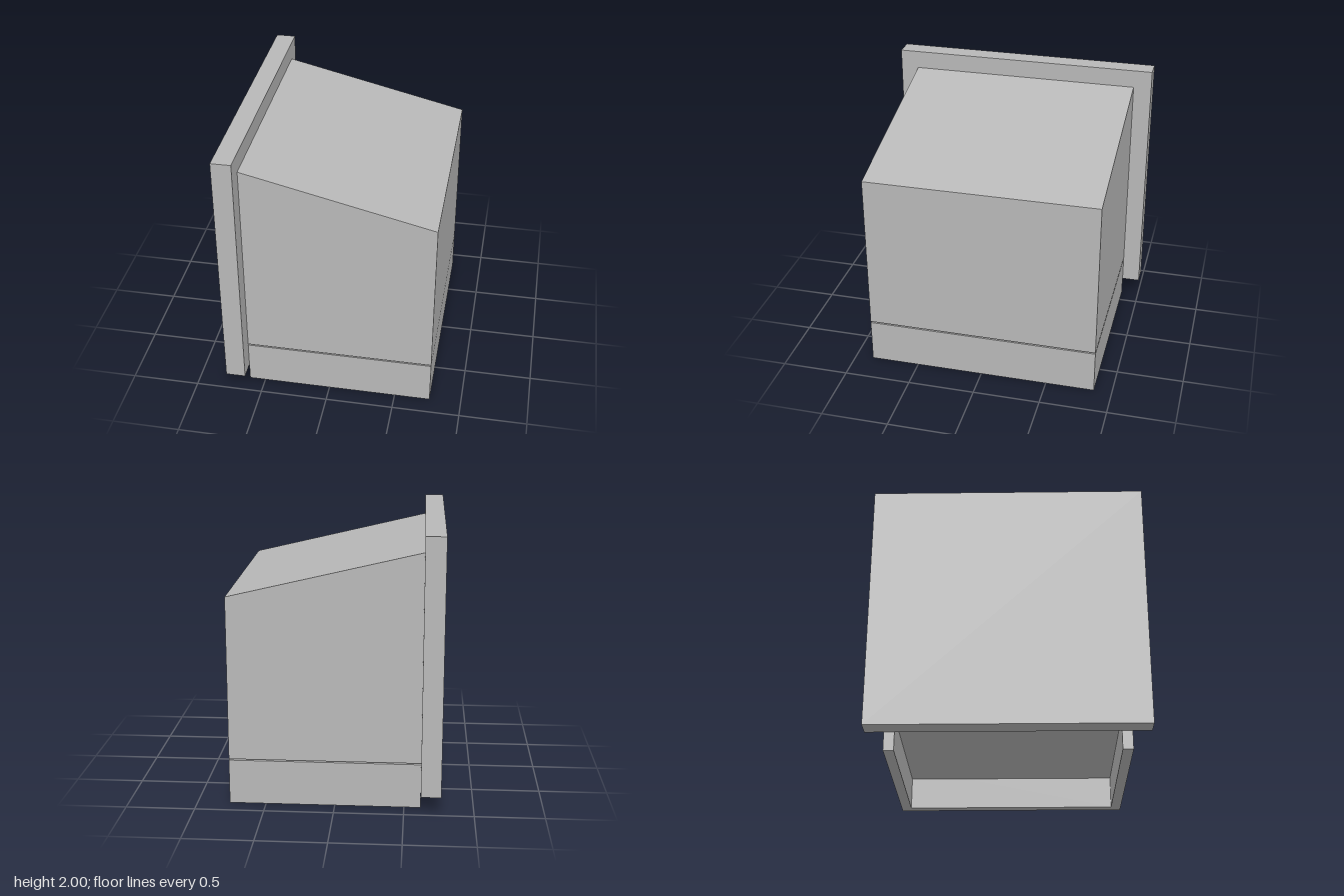
import * as THREE from 'three';

export function createModel() {
  const model = new THREE.Group();
  model.name = 'wallHousing';
  const grey = new THREE.MeshStandardMaterial({ color: 0xb8b8b8 });
  grey.name = 'plain grey';

  const xBack = -0.62, xFront = 0.765, halfDepth = 0.865, wall = 0.075;
  const baseTop = 0.328, ceiling = 0.24;

  // Box given by its lower and upper corners
  function box(name, [x0, y0, z0], [x1, y1, z1], parent = model) {
    const mesh = new THREE.Mesh(new THREE.BoxGeometry(x1 - x0, y1 - y0, z1 - z0), grey);
    mesh.position.set((x0 + x1) / 2, (y0 + y1) / 2, (z0 + z1) / 2);
    mesh.name = name;
    parent.add(mesh);
  }

  // Upright mounting plate, wider and taller than the body
  box('backPlate', [-0.765, 0.135, -1], [xBack, 2, 1]);

  // Body with a sloping top, held just clear of the base
  const side = new THREE.Shape([
    new THREE.Vector2(xBack, 0.338),
    new THREE.Vector2(xFront, 0.338),
    new THREE.Vector2(xFront, 1.535),
    new THREE.Vector2(xBack, 1.865),
  ]);
  const bodyGeometry = new THREE.ExtrudeGeometry(side, { depth: 2 * halfDepth, bevelEnabled: false });
  bodyGeometry.translate(0, 0, -halfDepth);
  const body = new THREE.Mesh(bodyGeometry, grey);
  body.name = 'slopedBody';
  model.add(body);

  // Base: a U-shaped skirt under a slab, open towards the plate
  const base = new THREE.Group();
  base.name = 'base';
  model.add(base);
  const skirt = new THREE.Shape([
    new THREE.Vector2(xBack, -halfDepth),
    new THREE.Vector2(xFront, -halfDepth),
    new THREE.Vector2(xFront, halfDepth),
    new THREE.Vector2(xBack, halfDepth),
    new THREE.Vector2(xBack, halfDepth - wall),
    new THREE.Vector2(xFront - wall, halfDepth - wall),
    new THREE.Vector2(xFront - wall, -halfDepth + wall),
    new THREE.Vector2(xBack, -halfDepth + wall),
  ]);
  const skirtGeometry = new THREE.ExtrudeGeometry(skirt, { depth: baseTop, bevelEnabled: false });
  skirtGeometry.rotateX(-Math.PI / 2);
  const skirtMesh = new THREE.Mesh(skirtGeometry, grey);
  skirtMesh.name = 'baseSkirt';
  base.add(skirtMesh);
  box('baseSlab', [xBack, ceiling, -halfDepth + wall], [xFront - wall, baseTop, halfDepth - wall], base);

  return model;
}
